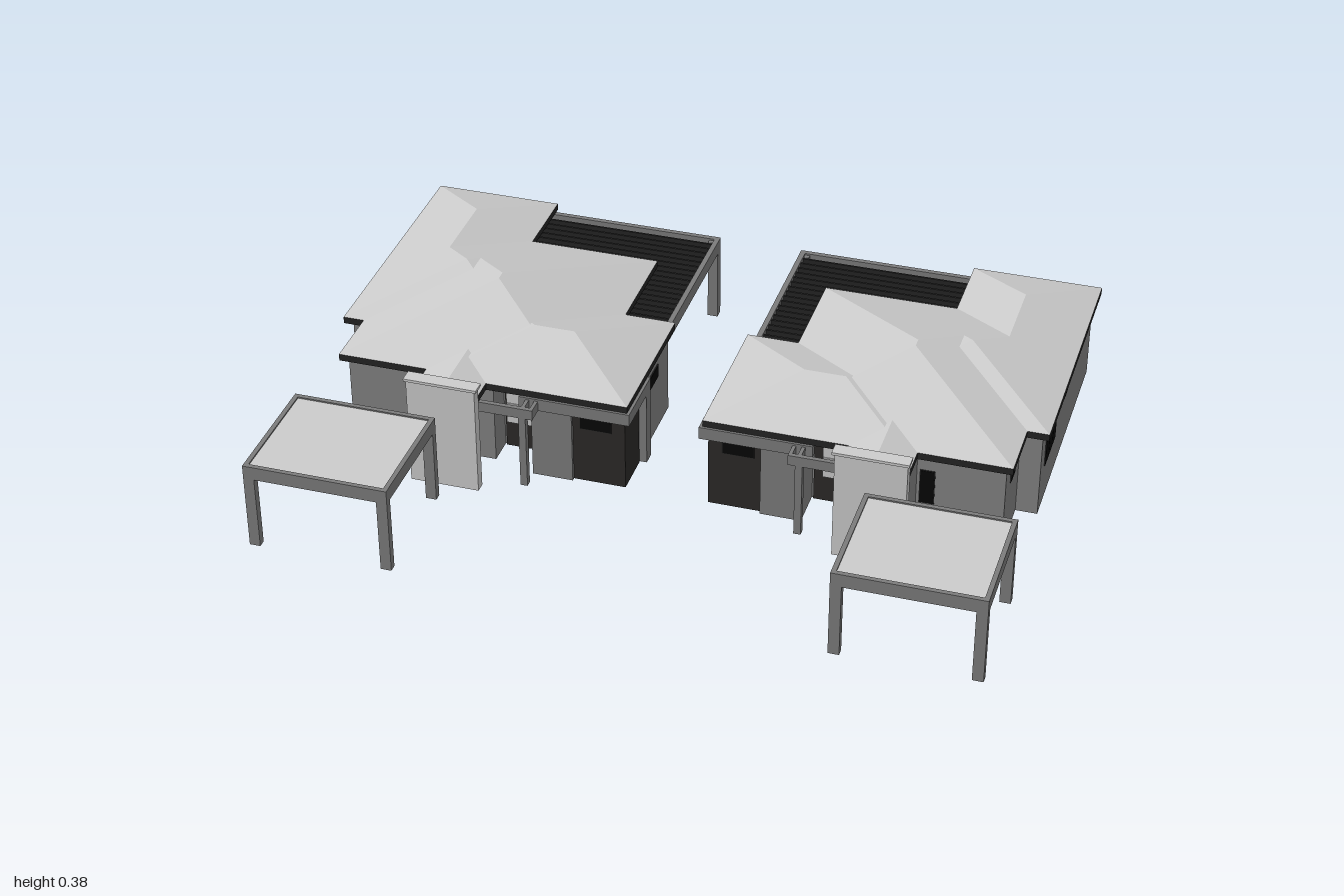
import * as THREE from 'three';

const mat = (color) => new THREE.MeshStandardMaterial({ color, flatShading: true });
const LIGHT = mat(0xcccccc), WALL = mat(0x838383), BEAM = mat(0x7c7c7c);
const DARK = mat(0x242424), PANEL = mat(0x2c2a28), GLASS = mat(0x060606);
const EAVE = 0.275, PITCH = 0.297;

// Hipped roof over a rectangle; a gable keeps the ridge full length
function hipGeometry(x0, x1, z0, z1, gable) {
  const half = Math.min(x1 - x0, z1 - z0) / 2, y = EAVE + half * PITCH;
  const inset = gable ? 0 : half;
  const alongX = x1 - x0 > z1 - z0;
  const cx = (x0 + x1) / 2, cz = (z0 + z1) / 2;
  const a = [x0, EAVE, z0], b = [x1, EAVE, z0], c = [x1, EAVE, z1], d = [x0, EAVE, z1];
  const p = alongX ? [x0 + inset, y, cz] : [cx, y, z0 + inset];
  const q = alongX ? [x1 - inset, y, cz] : [cx, y, z1 - inset];
  const tris = alongX
    ? [d, c, q, d, q, p, b, a, p, b, p, q, a, d, p, c, b, q]
    : [a, d, q, a, q, p, c, b, p, c, p, q, b, a, p, d, c, q];
  tris.push(a, b, c, a, c, d); // underside
  const g = new THREE.BufferGeometry();
  g.setAttribute('position', new THREE.Float32BufferAttribute(tris.flat(), 3));
  g.computeVertexNormals();
  return g;
}

// Move every side of a right-angled outline inward by t
function insetOutline(pts, t) {
  const n = pts.length;
  return pts.map((p, i) => {
    const u = pts[(i + n - 1) % n], v = pts[(i + 1) % n];
    const d1 = [Math.sign(p[0] - u[0]), Math.sign(p[1] - u[1])];
    const d2 = [Math.sign(v[0] - p[0]), Math.sign(v[1] - p[1])];
    return [p[0] - t * (d1[1] + d2[1]), p[1] + t * (d1[0] + d2[0])];
  });
}

function buildHouse(s) {
  const house = new THREE.Group();
  house.name = s > 0 ? 'leftHouse' : 'rightHouse';
  const add = (name, geo, m) => {
    const mesh = new THREE.Mesh(geo, m);
    mesh.name = name;
    house.add(mesh);
    return mesh;
  };
  const box = (name, x0, x1, y0, y1, z0, z1, m) =>
    add(name, new THREE.BoxGeometry(x1 - x0, y1 - y0, z1 - z0), m)
      .position.set(s * (x0 + x1) / 2, (y0 + y1) / 2, (z0 + z1) / 2);
  const hip = (name, x0, x1, z0, z1, gable) =>
    add(name, hipGeometry(s > 0 ? x0 : -x1, s > 0 ? x1 : -x0, z0, z1, gable), LIGHT);

  // Hollow outer walls; the hole runs against the outline so its sides face the rooms
  const outline = [[0.12, -0.2], [0.27, -0.2], [0.27, -0.5], [0.65, -0.5], [0.65, -0.725],
    [0.98, -0.725], [0.98, 0], [0.92, 0], [0.92, 0.18], [0.5, 0.18], [0.5, 0.1],
    [0.38, 0.1], [0.38, 0.2], [0.12, 0.2]];
  const toPlan = (pts) => pts.map(([x, z]) => new THREE.Vector2(s * x, -z));
  const plan = new THREE.Shape(toPlan(outline));
  plan.holes.push(new THREE.Path(toPlan(insetOutline(outline, 0.015)).reverse()));
  const walls = new THREE.ExtrudeGeometry(plan, { depth: 0.257, bevelEnabled: false });
  add('outerWalls', walls.rotateX(-Math.PI / 2), WALL);

  // Inner walls: x0, x1, z0, z1
  for (const [x0, x1, z0, z1] of [[0.645, 0.655, -0.5, 0.17], [0.65, 0.97, -0.4, -0.39],
    [0.65, 0.97, -0.24, -0.23], [0.65, 0.92, -0.01, 0], [0.27, 0.28, -0.2, 0.19]])
    box('innerWall', x0, x1, 0, 0.257, z0, z1, WALL);
  box('livingFloor', 0.28, 0.645, 0, 0.008, -0.49, 0.09, DARK);

  // Roof masses, each with a dark eave slab: x0, x1, z0, z1
  for (const [name, x0, x1, z0, z1] of [
    ['mainRoof', 0.25, 0.94, -0.52, 0.2], ['backWingRoof', 0.63, 1, -0.745, -0.15],
    ['sideWingRoof', 0.46, 1, -0.52, 0.02], ['frontWingRoof', 0.105, 0.66, -0.22, 0.22]]) {
    hip(name, x0, x1, z0, z1);
    box('eave', x0, x1, 0.255, EAVE, z0, z1, DARK);
  }

  // Entrance porch with capped blade wall
  hip('porchRoof', 0.505, 0.685, 0.05, 0.305, true);
  box('porchEave', 0.505, 0.685, 0.255, EAVE, 0.18, 0.305, DARK);
  box('porchSideWall', 0.665, 0.682, 0, 0.256, 0.18, 0.305, WALL);
  box('bladeWall', 0.495, 0.69, 0, 0.322, 0.305, 0.335, LIGHT);
  box('bladeWallCap', 0.488, 0.695, 0.322, 0.33, 0.3, 0.34, LIGHT);
  box('porchPost', 0.375, 0.395, 0, 0.22, 0.255, 0.275, BEAM);
  box('porchBeam', 0.355, 0.51, 0.22, 0.25, 0.262, 0.275, BEAM);
  for (const x of [0.355, 0.38]) box('porchRafter', x, x + 0.01, 0.22, 0.25, 0.2, 0.265, BEAM);
  box('entryDoor', 0.385, 0.495, 0, 0.215, 0.095, 0.105, PANEL);
  for (const y of [0.08, 0.145]) box('doorPanel', 0.41, 0.49, y, y + 0.063, 0.1, 0.11, LIGHT);

  // Front corner framing around the dark corner cladding
  box('cornerCladding', 0.117, 0.265, 0, 0.22, 0.08, 0.204, PANEL);
  box('frontBeam', 0.097, 0.41, 0.22, 0.256, 0.205, 0.227, BEAM);
  box('sideBeam', 0.097, 0.12, 0.22, 0.256, 0.035, 0.227, BEAM);
  box('sidePier', 0.097, 0.122, 0, 0.256, 0.035, 0.075, BEAM);
  box('frontPier', 0.265, 0.38, 0, 0.22, 0.195, 0.215, BEAM);

  // Windows and glass doors, slightly proud of their walls
  const paneZ = (x0, x1, y0, y1, z, n = 1) => {
    box('windowFrame', x0, x1, y0, y1, z - 0.003, z + 0.002, DARK);
    const w = (x1 - x0) / n;
    for (let i = 0; i < n; i++)
      box('glass', x0 + i * w + 0.002, x0 + (i + 1) * w - 0.002, y0 + 0.002, y1 - 0.002, z - 0.004, z + 0.003, GLASS);
  };
  const paneX = (z0, z1, y0, y1, x, n = 1) => {
    box('windowFrame', x - 0.003, x + 0.002, y0, y1, z0, z1, DARK);
    const w = (z1 - z0) / n;
    for (let i = 0; i < n; i++)
      box('glass', x - 0.004, x + 0.003, y0 + 0.002, y1 - 0.002, z0 + i * w + 0.002, z0 + (i + 1) * w - 0.002, GLASS);
  };
  paneX(0.062, 0.116, 0.17, 0.21, 0.92);
  paneX(-0.2, -0.055, 0.12, 0.21, 0.98, 3);
  paneX(-0.365, -0.31, 0.17, 0.21, 0.98);
  paneX(-0.1, 0.02, 0.17, 0.21, 0.12);
  paneX(-0.47, -0.24, 0, 0.215, 0.27, 2);
  paneZ(0.3, 0.62, 0.06, 0.215, -0.5, 4);
  paneZ(0.15, 0.25, 0, 0.215, -0.2, 2);
  paneZ(0.72, 0.88, 0.12, 0.21, -0.725, 2);
  paneZ(0.155, 0.245, 0.17, 0.21, 0.204);
  paneZ(0.69, 0.732, 0.105, 0.21, 0.18);

  // Slatted pergola in the back inner corner
  box('pergolaBackBeam', 0.122, 0.65, 0.215, 0.255, -0.73, -0.715, BEAM);
  box('pergolaSideBeam', 0.122, 0.137, 0.215, 0.255, -0.73, -0.2, BEAM);
  box('pergolaPost', 0.122, 0.152, 0, 0.25, -0.73, -0.7, BEAM);
  box('downpipe', 0.264, 0.274, 0, 0.256, -0.54, -0.53, BEAM);
  for (let i = 0; i < 18; i++) {
    const z = -0.695 + i * 0.0265;
    box('pergolaSlat', 0.13, z < -0.5 ? 0.65 : 0.27, 0.228, 0.25, z - 0.003, z + 0.003, DARK);
  }

  // Free-standing carport
  const [cx0, cx1, cz0, cz1, t] = [0.59, 0.992, 0.385, 0.738, 0.013];
  box('carportRoof', cx0 + 0.01, cx1 - 0.01, 0.235, 0.25, cz0 + 0.01, cz1 - 0.01, LIGHT);
  box('carportCeiling', cx0 + 0.01, cx1 - 0.01, 0.225, 0.235, cz0 + 0.01, cz1 - 0.01, DARK);
  for (const z of [cz0, cz1 - t]) {
    box('carportBeam', cx0, cx1, 0.215, 0.254, z, z + t, BEAM);
    const pz = z === cz0 ? z : cz1 - 0.022;
    for (const x of [cx0, cx1 - 0.03]) box('carportPost', x, x + 0.03, 0, 0.225, pz, pz + 0.022, BEAM);
  }
  for (const x of [cx0, cx1 - t]) box('carportSideBeam', x, x + t, 0.215, 0.254, cz0 + t, cz1 - t, BEAM);
  return house;
}

export function createModel() {
  const model = new THREE.Group();
  model.name = 'mirroredHouses';
  model.add(buildHouse(1), buildHouse(-1));
  return model;
}
